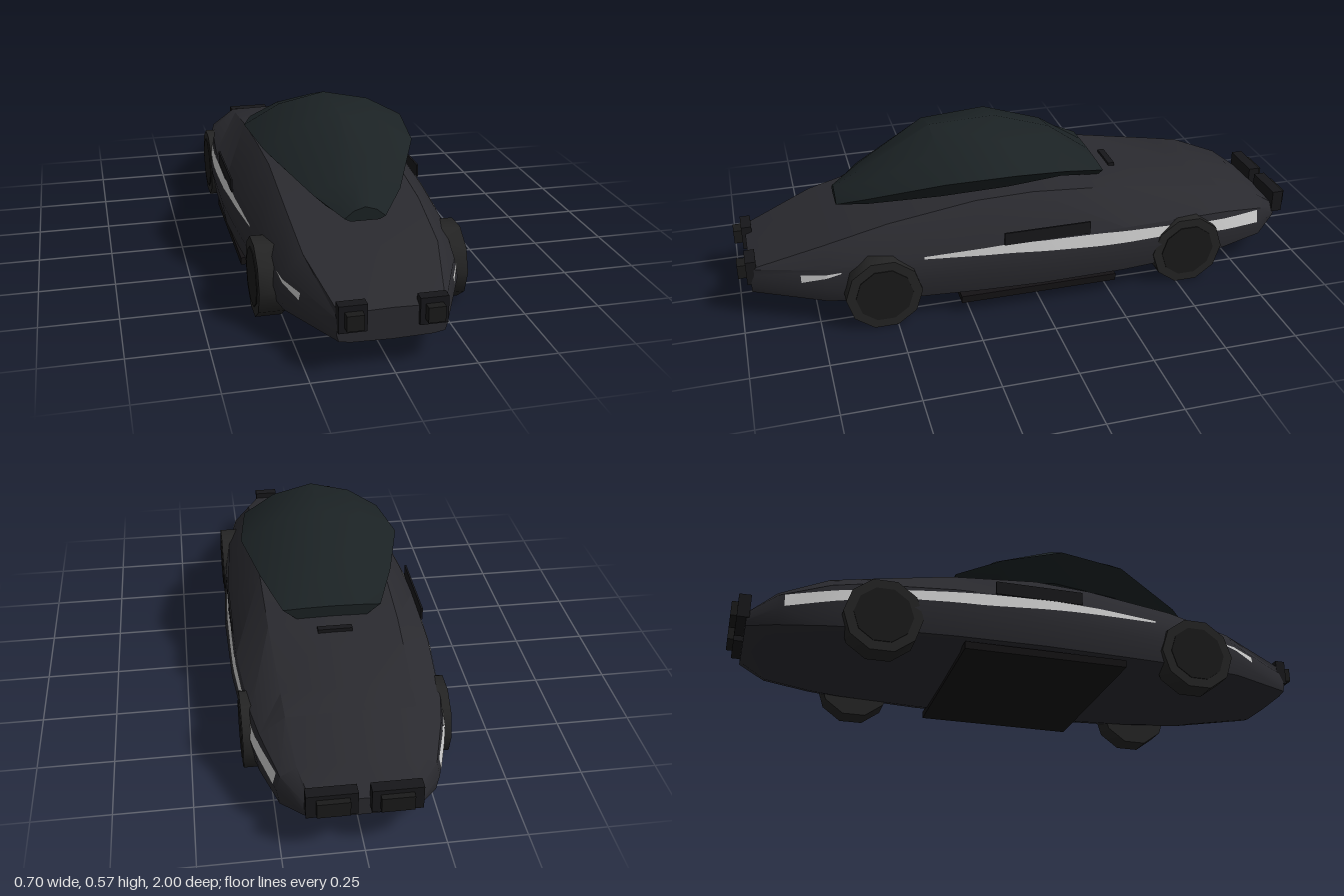
import * as THREE from 'three';
import { toCreasedNormals } from 'three/addons/utils/BufferGeometryUtils.js';

const paint = (color, extra = {}) => new THREE.MeshStandardMaterial({ color, ...extra });
const mats = {
  body: paint(0x2a2a2f), glass: paint(0x1b2224), tyre: paint(0x242424), hub: paint(0x1a1a1a),
  trim: paint(0x17171a), floor: paint(0x141214), stripe: paint(0xcccccc, { side: THREE.DoubleSide }),
};

// Body stations, front to back: z, half width, bottom, widest y, shoulder y, top, roof width ratio
const BODY = [
  [0.96, 0.165, 0.10, 0.13, 0.17, 0.197, 0.95],
  [0.72, 0.28, 0.083, 0.15, 0.215, 0.28, 0.75],
  [0.5, 0.32, 0.072, 0.165, 0.24, 0.335, 0.68],
  [0.2, 0.342, 0.066, 0.17, 0.257, 0.378, 0.63],
  [0, 0.351, 0.065, 0.17, 0.26, 0.386, 0.63],
  [-0.3, 0.346, 0.065, 0.17, 0.255, 0.363, 0.63],
  [-0.6, 0.32, 0.067, 0.17, 0.245, 0.315, 0.65],
  [-0.7, 0.30, 0.07, 0.165, 0.235, 0.298, 0.68],
  [-0.86, 0.25, 0.08, 0.15, 0.2, 0.235, 0.75],
  [-0.95, 0.17, 0.11, 0.13, 0.15, 0.17, 0.9],
];

// Canopy stations: z, half width, bottom, widest y, top
const CANOPY = [
  [0.65, 0.065, 0.335, 0.345, 0.38],
  [0.55, 0.14, 0.35, 0.39, 0.435],
  [0.31, 0.25, 0.385, 0.465, 0.573],
  [0.08, 0.278, 0.4, 0.48, 0.58],
  [-0.12, 0.225, 0.395, 0.445, 0.515],
  [-0.27, 0.165, 0.36, 0.4, 0.405],
];

// Light flash along the flank: z, lower y, upper y
const FLASHES = [
  [[0.8, 0.165, 0.19], [0.67, 0.203, 0.207]],
  [[0.4, 0.235, 0.243], [0.1, 0.225, 0.258], [-0.2, 0.205, 0.25], [-0.45, 0.2, 0.235], [-0.84, 0.155, 0.2]],
];

// Linear interpolation in a table sorted by falling z
function sample(table, z) {
  let i = 0;
  while (i < table.length - 2 && table[i + 1][0] > z) i++;
  const a = table[i], b = table[i + 1], t = (a[0] - z) / (a[0] - b[0]);
  return a.map((v, k) => v + (b[k] - v) * t);
}

function buildGeometry(points, index) {
  const g = new THREE.BufferGeometry();
  g.setAttribute('position', new THREE.Float32BufferAttribute(points.flat(), 3));
  g.setIndex(index);
  return g;
}

// Closed skin through half sections running from bottom centre to top centre
function loft(stations, section, crease) {
  const points = [], index = [];
  let n = 0;
  for (const s of stations) {
    const half = section(s);
    const ring = [...half, ...half.slice(1, -1).reverse().map(([x, y]) => [-x, y])];
    n = ring.length;
    for (const [x, y] of ring) points.push([x, y, s[0]]);
  }
  const last = (stations.length - 1) * n;
  for (let o = 0; o < last; o += n) {
    for (let j = 0; j < n; j++) {
      const a = o + j, b = o + (j + 1) % n;
      index.push(a, a + n, b, b, a + n, b + n);
    }
  }
  for (let j = 1; j < n - 1; j++) {
    index.push(0, j, j + 1, last, last + j + 1, last + j);
  }
  return toCreasedNormals(buildGeometry(points, index), crease);
}

function flashGeometry(rows, side) {
  const points = [], index = [], steps = 24;
  const z0 = rows[0][0], z1 = rows[rows.length - 1][0];
  for (let i = 0; i <= steps; i++) {
    const z = z0 + (z1 - z0) * i / steps;
    const [, w, , m, s] = sample(BODY, z);
    const [, lo, hi] = sample(rows, z);
    for (const y of [lo, hi]) {
      points.push([side * (w * (1 - 0.05 * (y - m) / (s - m)) + 0.003), y, z]);
    }
    if (i < steps) {
      const a = i * 2;
      if (side > 0) index.push(a, a + 2, a + 1, a + 1, a + 2, a + 3);
      else index.push(a, a + 1, a + 2, a + 1, a + 3, a + 2);
    }
  }
  const g = buildGeometry(points, index);
  g.computeVertexNormals();
  return g;
}

export function createModel() {
  const car = new THREE.Group();
  car.name = 'car';
  const add = (name, geometry, material, x = 0, y = 0, z = 0) => {
    const mesh = new THREE.Mesh(geometry, material);
    mesh.name = name;
    mesh.position.set(x, y, z);
    car.add(mesh);
    return mesh;
  };
  const box = (name, material, w, h, d, x, y, z) =>
    add(name, new THREE.BoxGeometry(w, h, d), material, x, y, z);

  // Wedge body and raised glass canopy
  add('body', loft(BODY, ([, w, b, m, s, t, k]) => [
    [0, b - 0.003], [0.75 * w, b], [0.96 * w, b + 0.22 * (m - b)], [w, m],
    [0.95 * w, s], [k * w, t - 0.004], [0, t],
  ], 0.6), mats.body);
  add('canopy', loft(CANOPY, ([, w, b, m, t]) => [
    [0, b], [0.7 * w, b], [w, m], [0.56 * w, t - 0.33 * (t - m)], [0, t],
  ], 0.6), mats.glass);

  // Floor plate and rear deck slot
  box('floorPlate', mats.floor, 0.66, 0.025, 0.55, 0, 0.0625, 0.005);
  box('deckSlot', mats.trim, 0.115, 0.014, 0.022, 0, 0.36, -0.34);

  for (const side of [1, -1]) {
    const label = side > 0 ? 'left' : 'right';

    // Wheels with hub discs
    for (const [end, z] of [['Front', 0.54], ['Rear', -0.535]]) {
      const tyre = new THREE.CylinderGeometry(0.128, 0.128, 0.083, 10).rotateZ(Math.PI / 2);
      const hub = new THREE.CylinderGeometry(0.096, 0.096, 0.012, 10).rotateZ(Math.PI / 2);
      add(label + end + 'Tyre', toCreasedNormals(tyre, 0.7), mats.tyre, side * 0.2925, 0.13, z);
      add(label + end + 'Hub', toCreasedNormals(hub, 0.7), mats.hub, side * 0.331, 0.13, z);
    }

    // Side window slot and flank flashes
    box(label + 'SideSlot', mats.trim, 0.006, 0.045, 0.3, side * 0.333, 0.279, -0.02);
    for (const rows of FLASHES) add(label + 'Flash', flashGeometry(rows, side), mats.stripe);

    // Square lamps with raised lenses
    box(label + 'Headlamp', mats.trim, 0.085, 0.085, 0.035, side * 0.12, 0.18, 0.955);
    box(label + 'HeadlampLens', mats.hub, 0.052, 0.048, 0.035, side * 0.119, 0.18, 0.9825);
    box(label + 'Taillamp', mats.trim, 0.155, 0.08, 0.04, side * 0.0975, 0.18, -0.96);
    box(label + 'TaillampLens', mats.hub, 0.1, 0.05, 0.03, side * 0.095, 0.18, -0.985);
  }
  return car;
}
